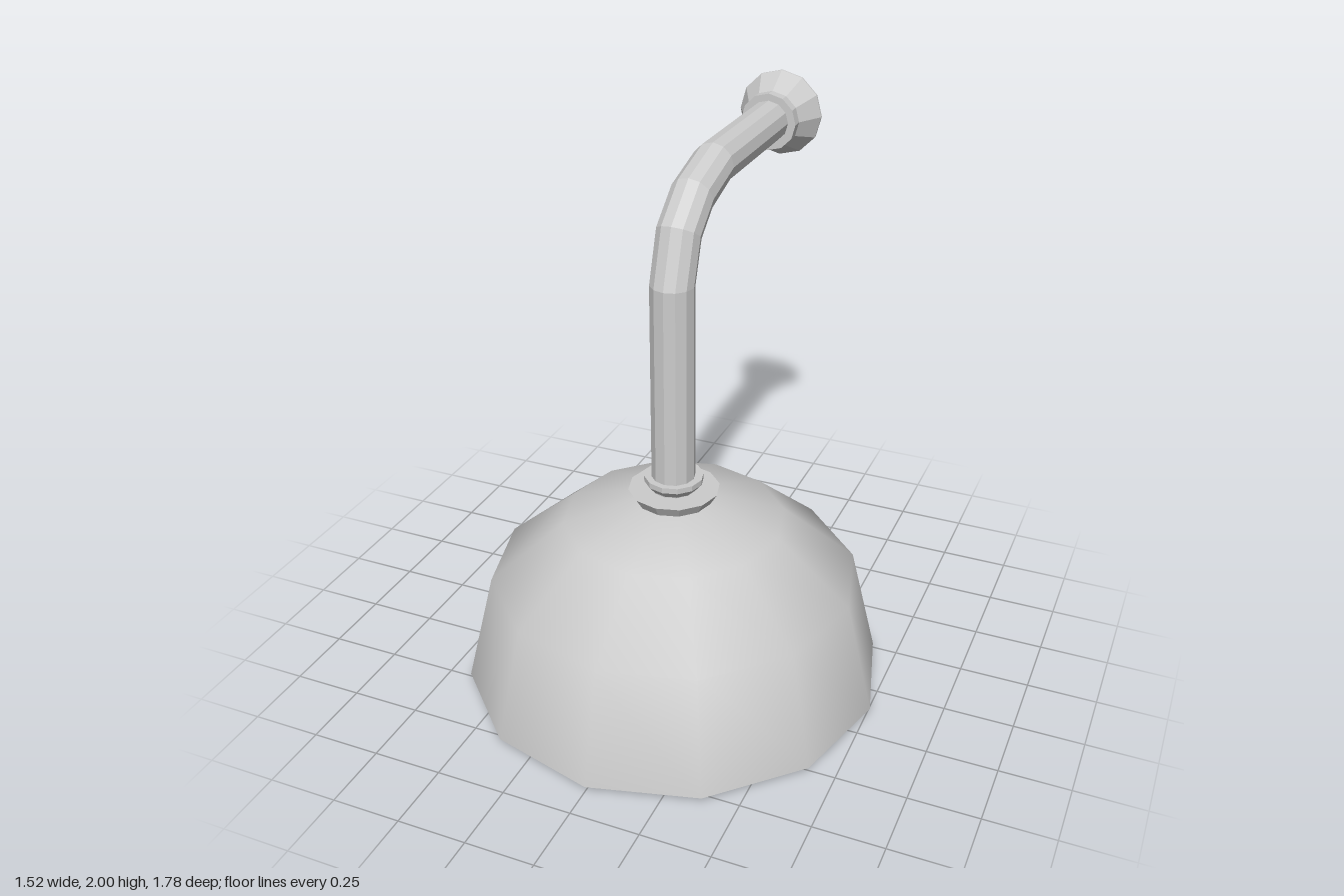
import * as THREE from 'three';

const SIDES = 12;
const AXIS_Z = 0.13; // centre line of the shade and upright pipe
const PIPE_Y = 1.843; // centre line of the horizontal pipe

// Revolved part; profile runs upwards for surfaces facing outwards
function turned(name, profile, flat) {
  const geometry = new THREE.LatheGeometry(profile.map(([r, y]) => new THREE.Vector2(r, y)), SIDES);
  const material = new THREE.MeshStandardMaterial({ color: 0xcccccc, flatShading: flat });
  const mesh = new THREE.Mesh(geometry, material);
  mesh.name = name;
  return mesh;
}

// Pipe skinned over tilted rings: [y, z, tilt in degrees]
function bentPipe(rings, radius) {
  const positions = [];
  const index = [];
  rings.forEach(([y, z, tilt], i) => {
    const t = THREE.MathUtils.degToRad(tilt);
    for (let j = 0; j < SIDES; j++) {
      const a = (j / SIDES) * Math.PI * 2;
      const n = Math.sin(a) * radius;
      positions.push(Math.cos(a) * radius, y + n * Math.sin(t), z + n * Math.cos(t));
      if (i === 0) continue;
      const k = (j + 1) % SIDES;
      const low = (i - 1) * SIDES;
      const high = i * SIDES;
      index.push(low + j, high + j, low + k, high + j, high + k, low + k);
    }
  });
  const geometry = new THREE.BufferGeometry();
  geometry.setAttribute('position', new THREE.Float32BufferAttribute(positions, 3));
  geometry.setIndex(index);
  geometry.computeVertexNormals();
  const mesh = new THREE.Mesh(geometry, new THREE.MeshStandardMaterial({ color: 0xcccccc, flatShading: true }));
  mesh.name = 'pipe';
  return mesh;
}

export function createModel() {
  const model = new THREE.Group();
  model.name = 'wallLamp';

  // Shade: smooth outside and inside joined by a crisp rim
  const shade = new THREE.Group();
  shade.name = 'shade';
  shade.add(
    turned('shadeOutside', [[0.76, 0.02], [0.66, 0.43], [0.395, 0.65], [0.14, 0.73], [0, 0.735]], false),
    turned('shadeInside', [[0, 0.675], [0.12, 0.67], [0.36, 0.6], [0.605, 0.4], [0.705, 0]], false),
    turned('shadeRim', [[0.705, 0], [0.76, 0.02]], true)
  );

  // Stacked fittings between shade and pipe
  const collar = turned('collar', [[0, 0.725], [0.135, 0.725], [0.162, 0.77], [0, 0.77]], true);
  const ring = turned('collarRing', [[0.075, 0.765], [0.105, 0.8], [0.105, 0.82], [0, 0.82]], true);
  for (const part of [shade, collar, ring]) {
    part.position.z = AXIS_Z;
    model.add(part);
  }

  // Upright pipe, bend and horizontal run
  model.add(bentPipe([
    [0.76, AXIS_Z + 0.005, 0],
    [1.54, AXIS_Z + 0.005, 0],
    [1.7, 0.08, 34],
    [1.79, -0.03, 67],
    [PIPE_Y, -0.21, 90],
    [PIPE_Y, -0.8, 90],
  ], 0.077));

  // Flared wall mount at the back
  const mount = turned('wallMount', [[0, 0], [0.106, 0], [0.106, 0.04], [0.16, 0.135], [0.16, 0.142], [0, 0.142]], true);
  mount.rotation.x = -Math.PI / 2;
  mount.position.set(0, PIPE_Y - 0.003, -0.75);
  model.add(mount);

  return model;
}
